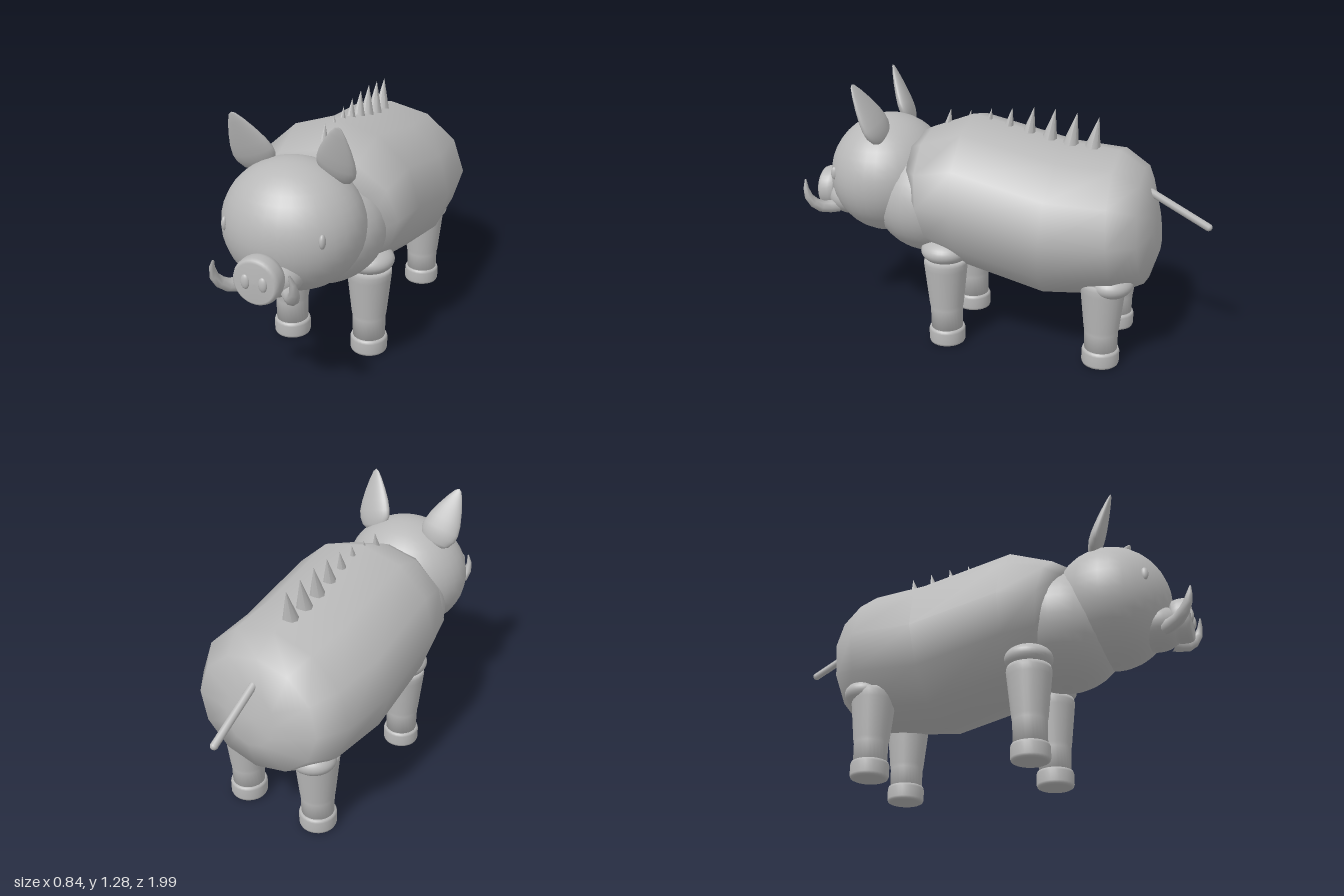
import * as THREE from 'three';

const V = (x, y, z) => new THREE.Vector3(x, y, z);

// Closed skin over a list of rings running front to back, with both ends capped
function loft(rings) {
  const n = rings[0].length, pos = [], idx = [];
  rings.forEach(r => r.forEach(p => pos.push(p.x, p.y, p.z)));
  for (let i = 0; i < rings.length - 1; i++) {
    for (let j = 0; j < n; j++) {
      const a = i * n + j, b = i * n + (j + 1) % n;
      idx.push(a, b, a + n, b, b + n, a + n);
    }
  }
  [[0, 1], [rings.length - 1, -1]].forEach(([k, dir]) => {
    const c = V(0, 0, 0);
    rings[k].forEach(p => c.addScaledVector(p, 1 / n));
    const ci = pos.length / 3;
    pos.push(c.x, c.y, c.z);
    for (let j = 0; j < n; j++) {
      const a = k * n + j, b = k * n + (j + 1) % n;
      if (dir > 0) idx.push(ci, b, a); else idx.push(ci, a, b);
    }
  });
  const g = new THREE.BufferGeometry();
  g.setAttribute('position', new THREE.Float32BufferAttribute(pos, 3));
  g.setIndex(idx);
  g.computeVertexNormals();
  return g;
}

// Tube whose radius shrinks toward the tip
function taperedTube(points, r0, r1, sides, steps) {
  const curve = new THREE.CatmullRomCurve3(points);
  const g = new THREE.TubeGeometry(curve, steps, 1, sides);
  const p = g.attributes.position, v = V(0, 0, 0);
  for (let i = 0; i < p.count; i++) {
    const t = Math.floor(i / (sides + 1)) / steps;
    const c = curve.getPointAt(t);
    v.fromBufferAttribute(p, i).sub(c).multiplyScalar(r0 + (r1 - r0) * t * t).add(c);
    p.setXYZ(i, v.x, v.y, v.z);
  }
  return g;
}

const lathe = (pts, sides = 28) =>
  new THREE.LatheGeometry(pts.map(([r, y]) => new THREE.Vector2(r, y)), sides);

export function createModel() {
  const model = new THREE.Group();
  model.name = 'boar';
  const grey = new THREE.MeshStandardMaterial({ color: 0xb8b8b8 });
  grey.name = 'clay grey';

  const add = (name, geo, x = 0, y = 0, z = 0) => {
    const m = new THREE.Mesh(geo, grey);
    m.name = name;
    m.position.set(x, y, z);
    model.add(m);
    return m;
  };
  const ball = (name, x, y, z, rx, ry, rz) => {
    const m = add(name, new THREE.SphereGeometry(1, 32, 20), x, y, z);
    m.scale.set(rx, ry, rz);
    return m;
  };

  // Body: tilted rings as [top z, top y, bottom z, bottom y, half width]
  const sections = [
    [0.44, 1.0, 0.32, 0.55, 0.28],
    [0.36, 1.04, 0.28, 0.45, 0.375],
    [0.15, 1.12, 0.14, 0.38, 0.412],
    [-0.3, 1.02, -0.25, 0.285, 0.42],
    [-0.555, 1.0, -0.6, 0.32, 0.405],
    [-0.675, 0.925, -0.725, 0.38, 0.32],
    [-0.725, 0.79, -0.77, 0.53, 0.13],
  ];
  const sides = 12;
  add('body', loft(sections.map(([tz, ty, bz, by, w]) =>
    Array.from({ length: sides }, (_, j) => {
      const a = (j / sides) * Math.PI * 2, k = (1 + Math.cos(a)) / 2;
      return V(w * Math.sin(a), by + (ty - by) * k, bz + (tz - bz) * k);
    })
  )));

  // Neck, head and snout
  ball('neck', 0, 0.7, 0.36, 0.325, 0.285, 0.3);
  ball('head', 0, 0.792, 0.595, 0.32, 0.293, 0.287);
  ball('muzzle', 0, 0.652, 0.8, 0.14, 0.1, 0.13);
  const snout = add('snoutDisc', lathe([
    [0, 0], [0.085, 0], [0.1, 0.012], [0.106, 0.035], [0.106, 0.07],
    [0.1, 0.085], [0.09, 0.092], [0, 0.095],
  ], 32), 0, 0.677, 0.872);
  snout.rotation.x = Math.PI / 2;

  // Ear: flattened teardrop
  const earProfile = [
    [0, 0], [0.045, 0.007], [0.075, 0.027], [0.094, 0.065], [0.096, 0.1],
    [0.085, 0.15], [0.063, 0.21], [0.038, 0.265], [0.016, 0.303], [0, 0.313],
  ];

  // Leg profiles
  const legProfile = [
    [0, 0.07], [0.078, 0.07], [0.08, 0.19], [0.084, 0.21], [0.104, 0.4], [0.107, 0.43],
    [0.102, 0.45], [0, 0.46],
  ];
  const hoofProfile = [
    [0, 0], [0.076, 0], [0.086, 0.005], [0.09, 0.016], [0.09, 0.068],
    [0.086, 0.08], [0.076, 0.085], [0, 0.085],
  ];

  for (const [side, s] of [['left', 1], ['right', -1]]) {
    ball(side + 'Eye', s * 0.225, 0.83, 0.793, 0.014, 0.032, 0.018);
    ball(side + 'Nostril', s * 0.04, 0.68, 0.964, 0.02, 0.033, 0.013);

    const ear = add(side + 'Ear', lathe(earProfile), s * 0.173, 0.998, 0.545);
    ear.scale.z = 0.36;
    ear.rotation.set(0.4, -s * 0.1, -s * 0.28, 'ZYX');

    add(side + 'Tusk', taperedTube([
      V(s * 0.09, 0.61, 0.85), V(s * 0.145, 0.617, 0.915), V(s * 0.177, 0.66, 0.96),
      V(s * 0.183, 0.71, 0.977), V(s * 0.17, 0.762, 0.985),
    ], 0.034, 0.004, 8, 6));

    // Legs with shoulder or hip bulge and hoof
    for (const [end, z, dy] of [['Front', 0.235, 0], ['Rear', -0.54, -0.02]]) {
      const x = s * 0.206;
      add(side + end + 'Leg', lathe(legProfile), x, dy, z);
      add(side + end + 'Hoof', lathe(hoofProfile), x, 0, z);
      if (end === 'Front') ball(side + 'Shoulder', x, 0.49, z, 0.118, 0.065, 0.118);
      else ball(side + 'Hip', x, 0.42, z - 0.035, 0.115, 0.065, 0.105);
    }
  }

  // Spine bristles: [tip z, tip y], leaning back
  [[0.267, 1.135], [0.165, 1.137], [0.062, 1.152], [-0.04, 1.163],
    [-0.145, 1.173], [-0.248, 1.173], [-0.352, 1.163], [-0.455, 1.15]].forEach(([z, y], i) => {
    const cone = new THREE.ConeGeometry(0.045, 0.18, 8);
    cone.translate(0, -0.09, 0);
    add('bristle' + (i + 1), cone, 0, y, z).rotation.x = -0.18;
  });

  // Tail
  const tail = add('tail', new THREE.CapsuleGeometry(0.018, 0.31, 6, 14), 0, 0.738, -0.846);
  tail.rotation.x = -Math.PI / 2 - 0.49;

  return model;
}
